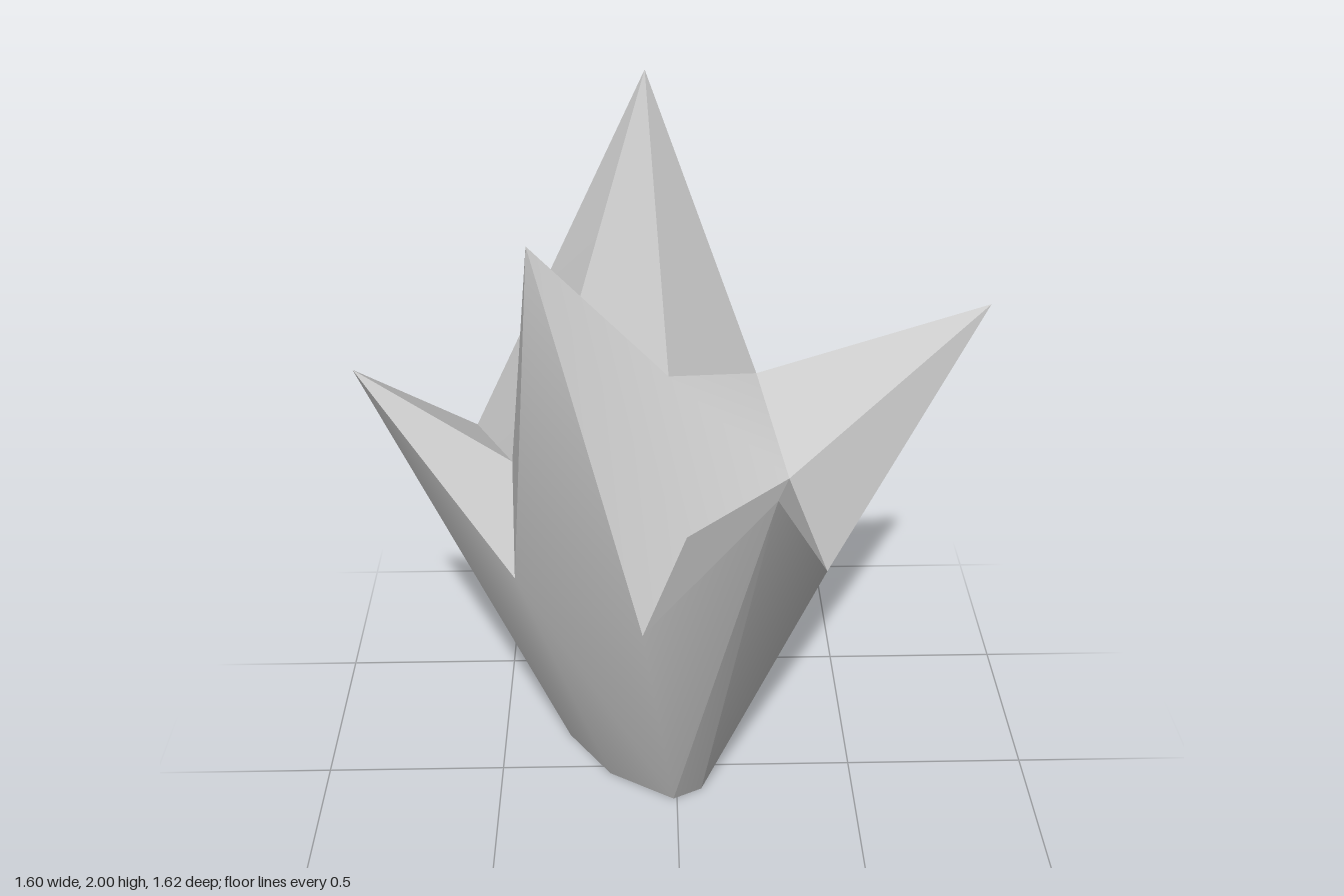
import * as THREE from 'three';
import { toCreasedNormals } from 'three/addons/utils/BufferGeometryUtils.js';

const material = new THREE.MeshStandardMaterial({ color: 0xcccccc });

// Spike tips (capitals), outer valleys (v) and inner valleys (lower case)
const P = {
  A: [0.8, 1.41, -0.12], B: [0.19, 1.42, 0.81], C: [-0.8, 1.31, 0.01],
  D: [-0.18, 1.36, -0.81], E: [-0.07, 2, -0.18], F: [-0.34, 1.73, 0.23],
  v1: [0.39, 0.77, 0.13], v2: [-0.09, 0.81, 0.45], v3: [-0.41, 0.83, 0.23],
  v4: [-0.56, 0.71, -0.29], v5: [-0.38, 0.81, -0.56],
  v6: [0.05, 0.87, -0.7], v7: [0.28, 1.06, -0.35],
  a: [0.21, 1.22, -0.12], b: [0.28, 1.06, 0.14], c: [0.02, 1.0, 0.31],
  d: [-0.02, 1.33, 0.1], e: [-0.27, 1.37, 0.01], f: [-0.41, 1.1, 0.11],
  g: [-0.52, 1.06, -0.15], h: [-0.25, 1.19, -0.43], i: [0, 1.15, -0.51],
};

// Foot outline, running from the right round by the front
const foot = [[0.14, -0.18], [0.07, 0.1], [-0.01, 0.14], [-0.19, 0.03],
  [-0.31, -0.14], [-0.19, -0.38], [-0.08, -0.42], [0.05, -0.32]]
  .map(([x, z]) => [x, 0, z]);

function makeMesh(name, triangles) {
  const geometry = new THREE.BufferGeometry();
  geometry.setAttribute('position', new THREE.Float32BufferAttribute(triangles.flat(2), 3));
  const mesh = new THREE.Mesh(toCreasedNormals(geometry, 0.6), material);
  mesh.name = name;
  return mesh;
}

// Turn a triangle so that it faces upward
function faceUp([p, q, r]) {
  const ny = (q[2] - p[2]) * (r[0] - p[0]) - (q[0] - p[0]) * (r[2] - p[2]);
  return ny >= 0 ? [p, q, r] : [p, r, q];
}

// Triangles from a centre point to a chain of neighbours, e.g. 'A: v7 a b v1'
function fan(text) {
  const [centre, chain] = text.split(': ');
  const pts = chain.split(' ').map((key) => P[key]);
  return pts.slice(1).map((p, k) => faceUp([P[centre], pts[k], p]));
}

// Wall joining the jagged rim to the foot, plus the outer face of the front spike
function outerWall() {
  const rim = [['A', 0], ['v1', 1], ['B', 2], ['v2', 2], ['v3', 3], ['C', 4],
    ['v4', 4], ['v5', 5], ['D', 6], ['v6', 6], ['v7', 7], ['A', 8]];
  const triangles = [[P.v2, P.F, P.v3]];
  for (let k = 1; k < rim.length; k++) {
    const [key0, b0] = rim[k - 1];
    const [key1, b1] = rim[k];
    triangles.push([P[key0], P[key1], foot[b0 % 8]]);
    for (let n = b0; n < b1; n++) {
      triangles.push([P[key1], foot[(n + 1) % 8], foot[n % 8]]);
    }
  }
  return triangles;
}

export function createModel() {
  const group = new THREE.Group();
  group.name = 'spikedCrystal';

  group.add(makeMesh('outerWall', outerWall()));
  group.add(makeMesh('base', foot.slice(2).map((p, k) => [foot[0], foot[k + 1], p])));

  // Spikes and the saddles between them
  const spikes = {
    rightSpike: ['A: v7 a b v1'],
    frontSpike: ['B: v1 b c v2'],
    leftSpike: ['C: v3 f g v4'],
    backSpike: ['D: v5 h i v6'],
    innerFrontSpike: ['F: v3 f e d c v2', 'd: c b a'],
    tallCentreSpike: ['E: e d a i h v5 v4 g e', 'e: g f', 'i: v6 v7 a'],
  };
  for (const [name, fans] of Object.entries(spikes)) {
    group.add(makeMesh(name, fans.flatMap(fan)));
  }
  return group;
}
